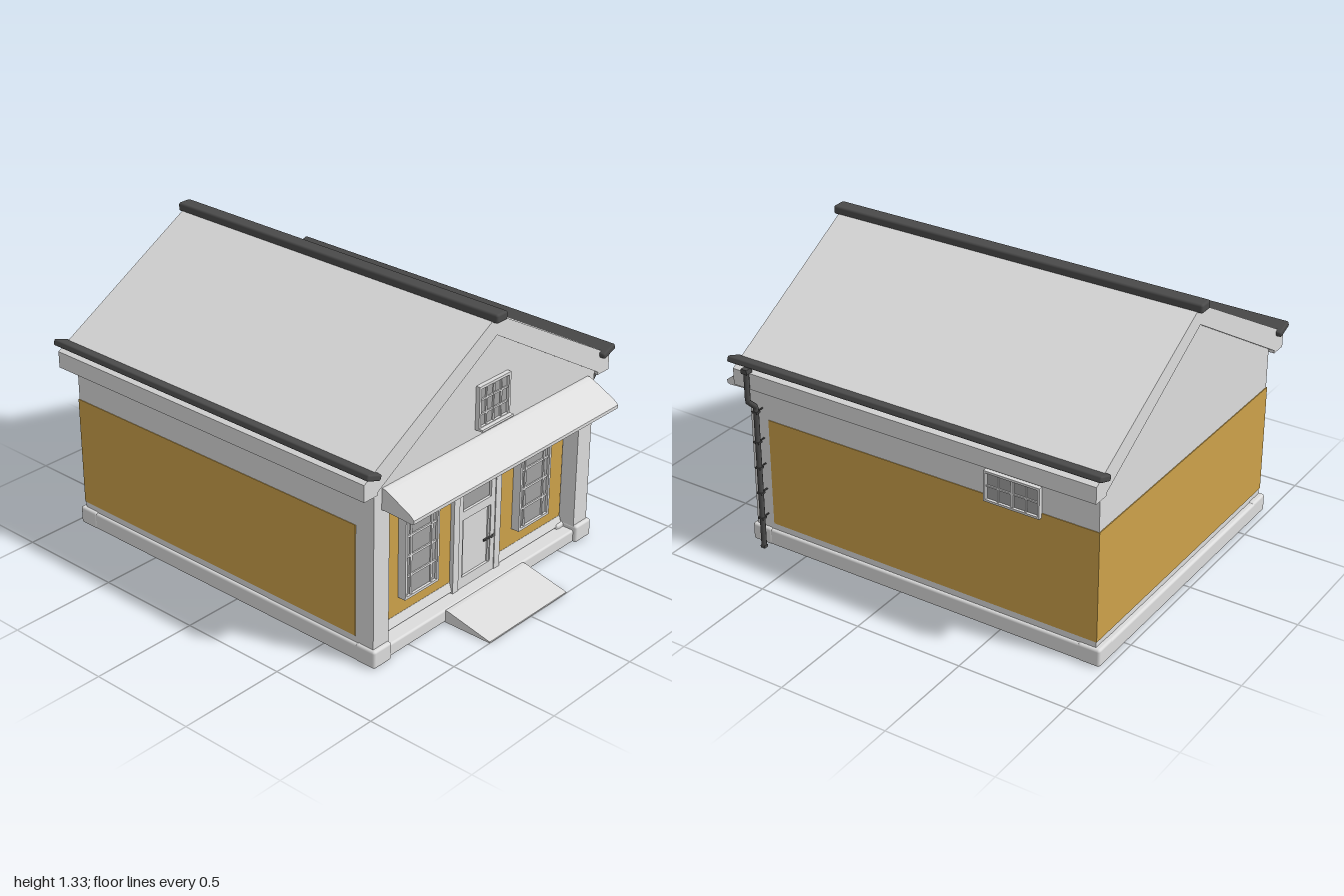
import * as THREE from 'three';
import { RoundedBoxGeometry } from 'three/addons/geometries/RoundedBoxGeometry.js';

const material = (name, color) => {
  const m = new THREE.MeshStandardMaterial({ color });
  m.name = name;
  return m;
};

export function createModel() {
  const white = material('white plaster', 0xdcdcdc);
  const ochre = material('ochre wall', 0xcda24a);
  const dark = material('dark metal', 0x4a4a4a);
  const glass = material('grey glass', 0xa2a2a2);

  const model = new THREE.Group();
  model.name = 'house';
  const house = new THREE.Group();
  house.name = 'building';
  house.position.x = -0.013; // the downpipe pushes the building off centre
  model.add(house);

  const add = (parent, name, geometry, mat) => {
    const mesh = new THREE.Mesh(geometry, mat);
    mesh.name = name;
    parent.add(mesh);
    return mesh;
  };
  // Box from its minimum and maximum corners, optionally rounded
  const box = (parent, name, mat, [x0, y0, z0], [x1, y1, z1], radius = 0) => {
    const size = [x1 - x0, y1 - y0, z1 - z0];
    const g = radius ? new RoundedBoxGeometry(...size, 2, radius) : new THREE.BoxGeometry(...size);
    const mesh = add(parent, name, g, mat);
    mesh.position.set((x0 + x1) / 2, (y0 + y1) / 2, (z0 + z1) / 2);
    return mesh;
  };
  const shape = (points) => new THREE.Shape(points.map(([x, y]) => new THREE.Vector2(x, y)));
  // Outline in x, y drawn out from z0 to z1
  const alongZ = (points, z0, z1) =>
    new THREE.ExtrudeGeometry(shape(points), { depth: z1 - z0, bevelEnabled: false }).translate(0, 0, z0);
  // Outline in z, y drawn out from x0 to x1
  const alongX = (points, x0, x1) =>
    new THREE.ExtrudeGeometry(shape(points), { depth: x1 - x0, bevelEnabled: false })
      .rotateY(-Math.PI / 2).translate(x1, 0, 0);

  const W = 0.708, BACK = -0.95, WALL = 0.685, FRONT = 0.764;

  // Walls, columns and ochre panels
  const gable = (y) => [[-W, y], [W, y], [W, 0.815], [0, 1.24], [-W, 0.815]];
  add(house, 'backWall', alongZ(gable(0.07), BACK, BACK + 0.04), white);
  add(house, 'frontGable', alongZ(gable(0.7), WALL - 0.02, FRONT), white);
  box(house, 'frontWall', white, [-W, 0.05, WALL - 0.02], [W, 0.72, WALL]);
  box(house, 'ceiling', white, [-W + 0.01, 0.62, BACK + 0.01], [W - 0.01, 0.635, WALL - 0.01]);
  box(house, 'frontPanel', ochre, [-0.615, 0.11, WALL], [0.61, 0.622, WALL + 0.004]);
  box(house, 'frontPanelFoot', ochre, [-0.615, 0.06, WALL], [0.61, 0.069, WALL + 0.004]);
  add(house, 'skirting', alongX([
    [WALL - 0.005, 0.069], [WALL + 0.018, 0.069], [WALL + 0.005, 0.11], [WALL - 0.005, 0.11],
  ], -0.615, 0.61), white);
  box(house, 'backPanel', ochre, [-W - 0.003, 0.11, BACK - 0.004], [W + 0.003, 0.62, BACK]);
  for (const s of [-1, 1]) {
    const wall = box(house, 'sideWall', white, [-0.02, 0.07, BACK], [0.02, 0.83, WALL]);
    wall.position.x = s * (W - 0.02);
    const panel = box(house, 'sidePanel', ochre, [-0.002, 0.11, BACK - 0.003], [0.002, 0.62, 0.67]);
    panel.position.x = s * (W + 0.001);
    const column = box(house, 'column', white, [-0.046, 0.06, WALL - 0.01], [0.046, 0.82, FRONT]);
    column.position.x = s * (W - 0.046);
  }

  // Plinth ring, corner blocks, porch floor and ramp
  for (const s of [-1, 1]) {
    const bar = box(house, 'sidePlinth', white, [-0.075, 0, -0.975], [0.075, 0.08, 0.71], 0.012);
    bar.position.x = s * 0.645;
    for (const z of [-0.923, 0.73]) {
      const block = box(house, 'cornerBlock', white, [-0.054, 0, -0.052], [0.054, 0.083, 0.052], 0.012);
      block.position.x = s * 0.668;
      block.position.z = z;
    }
  }
  box(house, 'backPlinth', white, [-0.7, 0, -0.975], [0.7, 0.08, -0.825], 0.012);
  box(house, 'porchFloor', white, [-0.7, 0, 0.62], [0.7, 0.06, 0.765], 0.01);
  add(house, 'ramp', alongX([[0.74, 0], [1, 0], [1, 0.006], [0.78, 0.056], [0.74, 0.056]], -0.26, 0.257), white);

  // Roof, ridge cap and gutters
  add(house, 'roof', alongZ([
    [-0.785, 0.793], [-0.708, 0.793], [-0.708, 0.806], [0, 1.225], [0.708, 0.806], [0.708, 0.793],
    [0.785, 0.793], [0.785, 0.868], [0, 1.312], [-0.785, 0.868],
  ], -0.977, 0.782), white);
  box(house, 'ridgeCap', dark, [-0.034, 1.288, -1], [0.034, 1.328, 0.808], 0.01);
  for (const s of [-1, 1]) {
    const gutter = box(house, 'gutter', dark, [-0.041, -0.014, -1], [0.041, 0.014, 0.808], 0.008);
    gutter.position.x = s * 0.752;
    gutter.position.y = 0.896;
    gutter.rotation.z = s * 0.35;
  }

  // Porch canopy
  add(house, 'canopy', alongX([
    [0.7, 0.705], [0.78, 0.705], [0.915, 0.698], [0.929, 0.703], [0.929, 0.718],
    [0.905, 0.737], [0.79, 0.795], [0.775, 0.8], [0.7, 0.8],
  ], -0.663, 0.66), white);

  // Framed window facing +z, with bars at the given offsets from its centre
  const addWindow = (name, w, h, columns, rows, { depth = 0.02, rim = 0.012, bar = 0.005 } = {}) => {
    const g = new THREE.Group();
    g.name = name;
    house.add(g);
    const x = w / 2, y = h / 2;
    box(g, 'glass', glass, [-x + rim, -y + rim, 0], [x - rim, y - rim, depth - 0.012]);
    for (const s of [-1, 1]) {
      box(g, 'frameSide', white, [-rim / 2, -y, 0], [rim / 2, y, depth]).position.x = s * (x - rim / 2);
      box(g, 'frameRail', white, [-x, -rim / 2, 0], [x, rim / 2, depth]).position.y = s * (y - rim / 2);
    }
    for (const c of columns) box(g, 'bar', white, [c - bar, -y + rim, 0], [c + bar, y - rim, depth - 0.005]);
    for (const r of rows) box(g, 'crossbar', white, [-x + rim, r - bar, 0], [x - rim, r + bar, depth - 0.006]);
    return g;
  };
  for (const s of [-1, 1]) {
    addWindow('frontWindow', 0.21, 0.387, [-0.064, 0.064], [-0.093, 0, 0.093], { depth: 0.044 })
      .position.set(s * 0.37, 0.383, WALL);
  }
  addWindow('gableWindow', 0.2, 0.195, [-0.047, 0, 0.047], [-0.032, 0.032], { bar: 0.004 })
    .position.set(0, 0.933, FRONT);
  box(house, 'gableSill', white, [-0.1, 0.835, FRONT], [0.1, 0.845, 0.803]);
  const sideWindow = addWindow('sideWindow', 0.262, 0.14, [-0.065, -0.003, 0.003, 0.065], [0],
    { rim: 0.01, bar: 0.0035 });
  sideWindow.position.set(W + 0.002, 0.67, -0.56);
  sideWindow.rotation.y = Math.PI / 2;

  // Door with stepped frame, transom and handle
  const door = new THREE.Group();
  door.name = 'door';
  door.position.set(0.008, 0, WALL);
  house.add(door);
  for (const s of [-1, 1]) {
    box(door, 'outerJamb', white, [-0.018, 0.06, 0], [0.018, 0.555, 0.023]).position.x = s * 0.137;
    box(door, 'innerJamb', white, [-0.014, 0.06, 0], [0.014, 0.53, 0.019]).position.x = s * 0.106;
    box(door, 'doorStile', white, [-0.005, 0.065, 0], [0.005, 0.38, 0.014]).position.x = s * 0.087;
  }
  box(door, 'lintel', white, [-0.119, 0.53, 0], [0.119, 0.555, 0.023]);
  box(door, 'transomTop', white, [-0.092, 0.507, 0], [0.092, 0.53, 0.019]);
  box(door, 'transomRail', white, [-0.092, 0.385, 0], [0.092, 0.425, 0.019]);
  box(door, 'transomGlass', glass, [-0.092, 0.425, 0], [0.092, 0.507, 0.007]);
  box(door, 'doorLeaf', white, [-0.092, 0.11, 0], [0.092, 0.385, 0.007]);
  box(door, 'doorFoot', white, [-0.092, 0.06, 0], [0.092, 0.11, 0.019]);
  box(door, 'handle', dark, [0.05, 0.223, 0.014], [0.11, 0.231, 0.022]);
  box(door, 'handlePlate', dark, [0.1, 0.218, 0.007], [0.114, 0.236, 0.02]);

  // Downpipe with thin wall brackets
  const pipe = new THREE.Group();
  pipe.name = 'downpipe';
  model.add(pipe);
  const path = new THREE.CurvePath();
  const points = [[0.738, 0.005], [0.738, 0.695], [0.786, 0.74], [0.786, 0.89]]
    .map(([x, y]) => new THREE.Vector3(x, y, 0.7));
  for (let i = 0; i < 3; i++) path.add(new THREE.LineCurve3(points[i], points[i + 1]));
  add(pipe, 'pipe', new THREE.TubeGeometry(path, 60, 0.012, 8), dark);
  box(pipe, 'pipeInlet', dark, [0.765, 0.875, 0.685], [0.802, 0.897, 0.715]);
  box(pipe, 'pipeFoot', dark, [0.727, 0, 0.689], [0.749, 0.012, 0.711]);
  for (const y of [0.15, 0.275, 0.4, 0.525, 0.67]) {
    box(pipe, 'bracket', dark, [0.69, y - 0.002, 0.697], [0.738, y + 0.002, 0.703]);
    box(pipe, 'collar', dark, [0.725, y - 0.004, 0.686], [0.751, y + 0.004, 0.714]);
  }
  return model;
}
